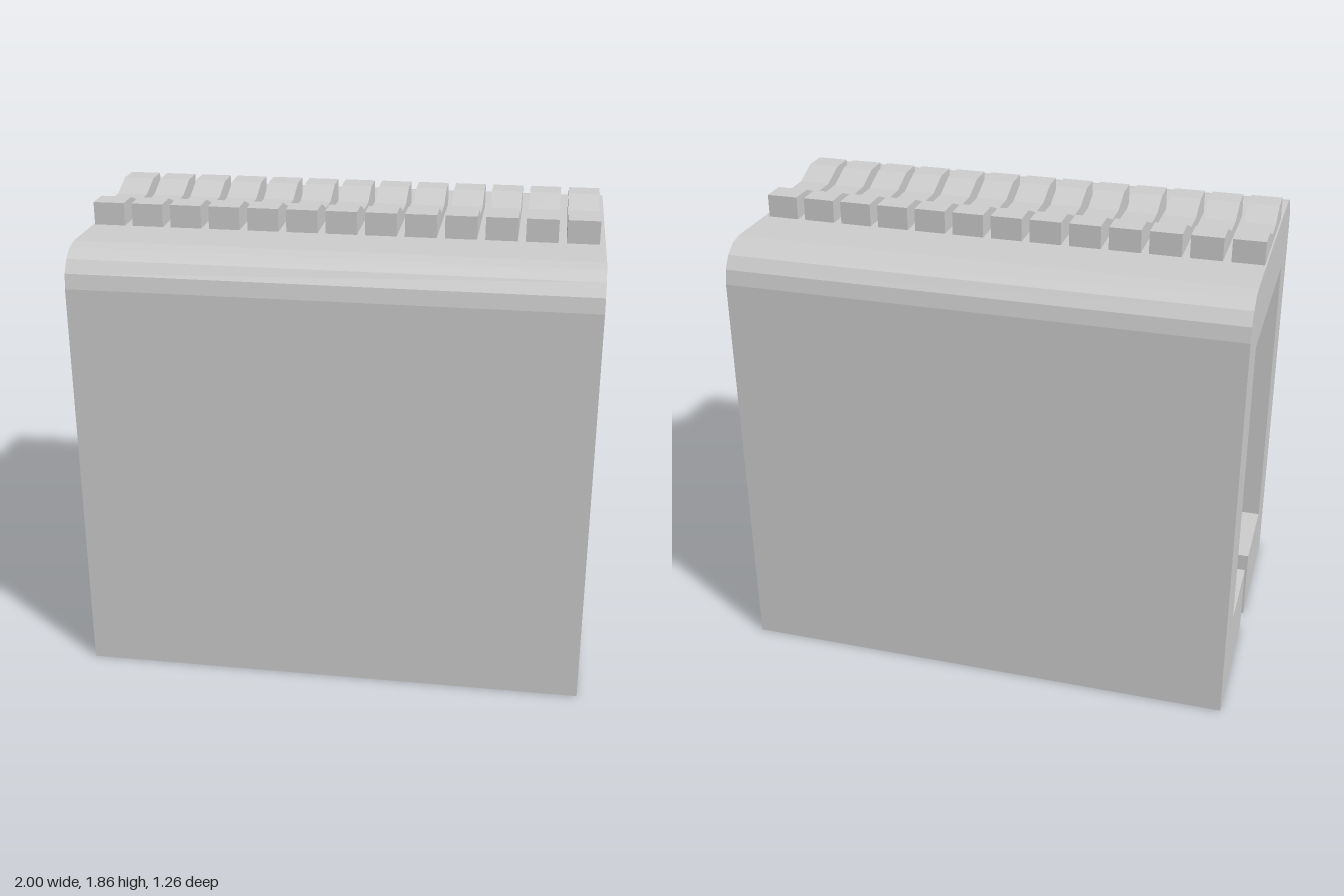
import * as THREE from 'three';

const material = new THREE.MeshStandardMaterial({ color: 0xcccccc, flatShading: true });

// Mirrors half a profile [z, y] and extrudes it along x, centred on x = 0
function extrudeAlongX(half, width) {
  const mirrored = half.map(([z, y]) => [-z, y]).reverse();
  const shape = new THREE.Shape([...half, ...mirrored].map(([z, y]) => new THREE.Vector2(z, y)));
  const geometry = new THREE.ExtrudeGeometry(shape, { depth: width, bevelEnabled: false });
  geometry.translate(0, 0, -width / 2);
  geometry.rotateY(Math.PI / 2);
  return geometry;
}

export function createModel() {
  const group = new THREE.Group();

  // Slotted channel body with rounded top corners
  const corner = [];
  for (let i = 0; i <= 4; i++) {
    const a = (i / 4) * Math.PI / 2;
    corner.push([0.492 + 0.14 * Math.cos(a), 1.615 + 0.15 * Math.sin(a)]);
  }
  const bodyHalf = [
    [0.415, 1.505], [0.415, 0.3], [0.055, 0.3], [0.055, 0], [0.632, 0], ...corner,
  ];
  const body = new THREE.Mesh(extrudeAlongX(bodyHalf, 2), material);
  body.name = 'channelBody';
  group.add(body);

  // Row of grip ribs with a dipped top
  const ribs = new THREE.Group();
  ribs.name = 'gripRibs';
  const ribGeometry = extrudeAlongX([[0.26, 1.765], [0.26, 1.855], [0.158, 1.855], [0.053, 1.812]], 0.123);
  for (let i = 0; i < 13; i++) {
    const rib = new THREE.Mesh(ribGeometry, material);
    rib.name = 'gripRib';
    rib.position.x = -0.932 + i * 0.154;
    ribs.add(rib);
  }
  group.add(ribs);

  return group;
}
